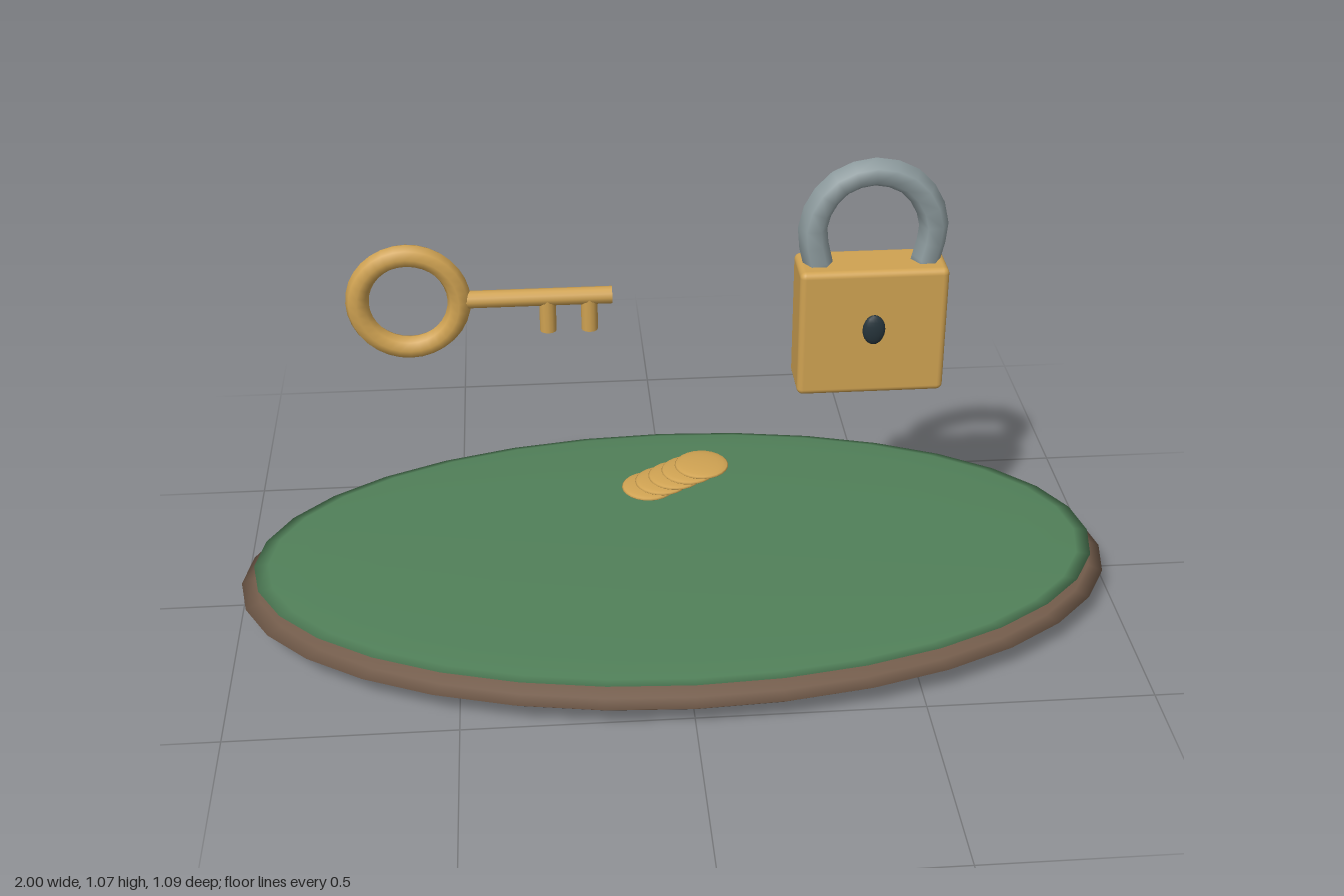
import * as THREE from 'three';
import { RoundedBoxGeometry } from 'three/addons/geometries/RoundedBoxGeometry.js';
import { mergeVertices } from 'three/addons/utils/BufferGeometryUtils.js';

const material = (color) => new THREE.MeshStandardMaterial({ color });
const brass = material(0xcfa252);
const steel = material(0x8f9da0);
const wood = material(0x735c4b);
const felt = material(0x518059);
const dark = material(0x26343b);

function add(parent, name, geometry, mat, x = 0, y = 0, z = 0) {
  const mesh = new THREE.Mesh(geometry, mat);
  mesh.name = name;
  mesh.position.set(x, y, z);
  parent.add(mesh);
  return mesh;
}

function ellipsoid(rx, ry, rz, around = 32, rings = 12) {
  return new THREE.SphereGeometry(1, around, rings).scale(rx, ry, rz);
}

// Six-sided smooth bar swept along a path, with an edge on its outer side
function hexBar(points, radius, steps) {
  const corners = [];
  for (let i = 0; i < 6; i++) {
    const a = Math.PI / 2 + (i * Math.PI) / 3;
    corners.push(new THREE.Vector2(Math.cos(a) * radius, Math.sin(a) * radius));
  }
  const path = new THREE.CatmullRomCurve3(points.map(([x, y]) => new THREE.Vector3(x, y, 0)));
  const swept = new THREE.ExtrudeGeometry(new THREE.Shape(corners), { steps, extrudePath: path });
  swept.deleteAttribute('uv');
  swept.deleteAttribute('normal');
  const smooth = mergeVertices(swept);
  smooth.computeVertexNormals();
  return smooth;
}

function makeKey() {
  const key = new THREE.Group();
  key.name = 'key';
  add(key, 'keyRing', new THREE.TorusGeometry(0.109, 0.025, 8, 32), brass);
  const shaft = new THREE.CylinderGeometry(0.019, 0.019, 0.315, 12).rotateZ(Math.PI / 2);
  add(key, 'keyShaft', shaft, brass, 0.28, 0, 0);
  for (const x of [0.298, 0.388]) {
    add(key, 'keyTooth', new THREE.CylinderGeometry(0.018, 0.018, 0.08, 12), brass, x, -0.04, 0);
  }
  key.position.set(-0.577, 0.766, 0);
  return key;
}

function makePadlock() {
  const lock = new THREE.Group();
  lock.name = 'padlock';
  add(lock, 'lockBody', new RoundedBoxGeometry(0.324, 0.297, 0.12, 3, 0.014), brass, 0, 0.678, 0);
  add(lock, 'keyhole', ellipsoid(0.025, 0.035, 0.012, 16, 10), dark, 0, 0.692, 0.068);
  const arch = [
    [-0.11, 0.79], [-0.13, 0.92], [-0.082, 1.005],
    [0, 1.034],
    [0.082, 1.005], [0.13, 0.92], [0.11, 0.79],
  ];
  add(lock, 'shackle', hexBar(arch, 0.032, 16), steel);
  lock.position.x = 0.424;
  return lock;
}

export function createModel() {
  const model = new THREE.Group();
  model.name = 'tabletopLockSet';

  // Oval table with a cloth top
  add(model, 'woodenBase', ellipsoid(1, 0.06, 0.545), wood, 0, 0.06, 0);
  add(model, 'feltTop', ellipsoid(0.968, 0.018, 0.524), felt, 0, 0.105, 0);

  // Slanting stack of coins
  const coins = new THREE.Group();
  coins.name = 'coins';
  for (let i = 0; i < 5; i++) {
    add(coins, 'coin', ellipsoid(0.061, 0.009, 0.061, 24, 10), brass, -0.063 + i * 0.03, 0.276 + i * 0.0128, 0);
  }
  model.add(coins, makeKey(), makePadlock());
  return model;
}
